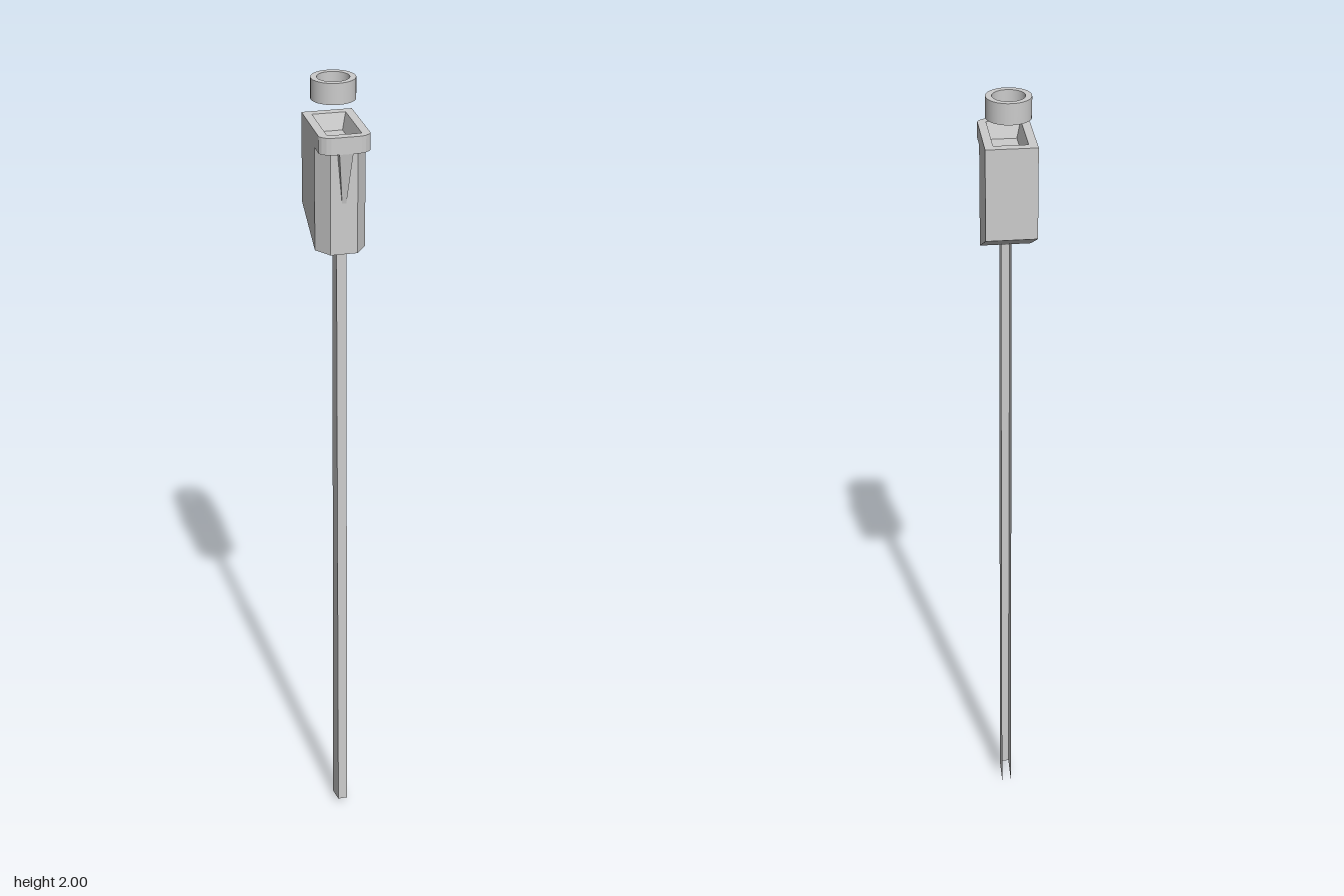
import * as THREE from 'three';

const material = new THREE.MeshStandardMaterial({ color: 0xcccccc, flatShading: true });
const sheet = new THREE.MeshStandardMaterial({ color: 0xcccccc, flatShading: true, side: THREE.DoubleSide });
const smooth = new THREE.MeshStandardMaterial({ color: 0xcccccc });

const named = (name, geometry, mat = material) => {
  const mesh = new THREE.Mesh(geometry, mat);
  mesh.name = name;
  return mesh;
};

// Extrudes a plan of [x, z] points upward from y0 to y1
function prism(plan, y0, y1, hole) {
  const toPoints = (list) => list.map(([x, z]) => new THREE.Vector2(x, -z));
  const shape = new THREE.Shape(toPoints(plan));
  if (hole) shape.holes.push(new THREE.Path(toPoints(hole)));
  const g = new THREE.ExtrudeGeometry(shape, { depth: y1 - y0, bevelEnabled: false });
  return g.rotateX(-Math.PI / 2).translate(0, y0, 0);
}

// Moves each vertex by a rule
function reshape(g, rule) {
  const p = g.attributes.position, v = new THREE.Vector3();
  for (let i = 0; i < p.count; i++) {
    rule(v.fromBufferAttribute(p, i));
    p.setXYZ(i, v.x, v.y, v.z);
  }
  g.computeVertexNormals();
  return g;
}

// Completes a symmetric outline from its +x half, listed front to back
const mirrored = (half) => [...half, ...half.map(([x, z]) => [-x, z]).reverse()];

export function createModel() {
  const model = new THREE.Group();

  // Hopper: chamfered front and a box whose underside rises to the back
  const hopper = new THREE.Group();
  hopper.name = 'hopper';
  hopper.add(named('hopperFront', prism(mirrored([[0.032, 0.075], [0.06, 0.035]]), 1.61, 1.86)));
  hopper.add(named('hopperBody', reshape(
    prism(mirrored([[0.06, 0.035], [0.06, -0.098]]), 1.61, 1.86),
    (v) => { if (v.y < 1.7 && v.z < 0) v.y = 1.68; })));

  // Rim with rounded front corners and a basin that narrows downward
  const outline = mirrored([[0.035, 0.098], [0.046, 0.094], [0.055, 0.087], [0.06, 0.079], [0.06, -0.098]]);
  const basin = mirrored([[0.04, 0.077], [0.04, -0.076]]);
  hopper.add(named('rim', reshape(prism(outline, 1.86, 1.9, basin), (v) => {
    if (v.y < 1.87 && Math.abs(Math.abs(v.x) - 0.04) < 1e-4) {
      v.x *= 0.76;
      v.z *= 0.88;
    }
  })));

  // Tapered bracket under the front of the rim
  hopper.add(named('bracket', reshape(new THREE.BoxGeometry(1, 1, 1), (v) => {
    const top = v.y > 0, front = v.z > 0;
    v.set(Math.sign(v.x) * (top ? 0.016 : 0.005), top ? 1.86 : 1.735, top && front ? 0.097 : front ? 0.076 : 0.07);
  })));
  model.add(hopper);

  // Downpipe: a channel open at the back, deeper toward its slanted foot
  const sections = [[0.02, 0.072], [1.63, 0.05]];
  const position = [], index = [];
  for (const [y, front] of sections) {
    const back = y < 1 ? 0 : y;
    position.push(0.012, back, 0.01, 0.012, y, front, -0.012, y, front, -0.012, back, 0.01);
  }
  for (let i = 0; i < 3; i++) index.push(i, i + 4, i + 1, i + 1, i + 4, i + 5);
  const channel = new THREE.BufferGeometry();
  channel.setAttribute('position', new THREE.Float32BufferAttribute(position, 3));
  channel.setIndex(index);
  const pipe = channel.toNonIndexed();
  pipe.computeVertexNormals();
  model.add(named('downpipe', pipe, sheet));

  // Separate collar above the hopper: open ring with crisp edges
  const collar = new THREE.Group();
  collar.name = 'collar';
  const ring = [[0.038, 1.95], [0.0525, 1.95], [0.0525, 2], [0.038, 2]].map((p) => new THREE.Vector2(...p));
  ring.forEach((p, i) => {
    const g = new THREE.LatheGeometry([p, ring[(i + 1) % 4]], 32);
    collar.add(named(['collarBottom', 'collarOuter', 'collarTop', 'collarInner'][i], g, smooth));
  });
  collar.position.z = -0.032;
  model.add(collar);

  return model;
}
